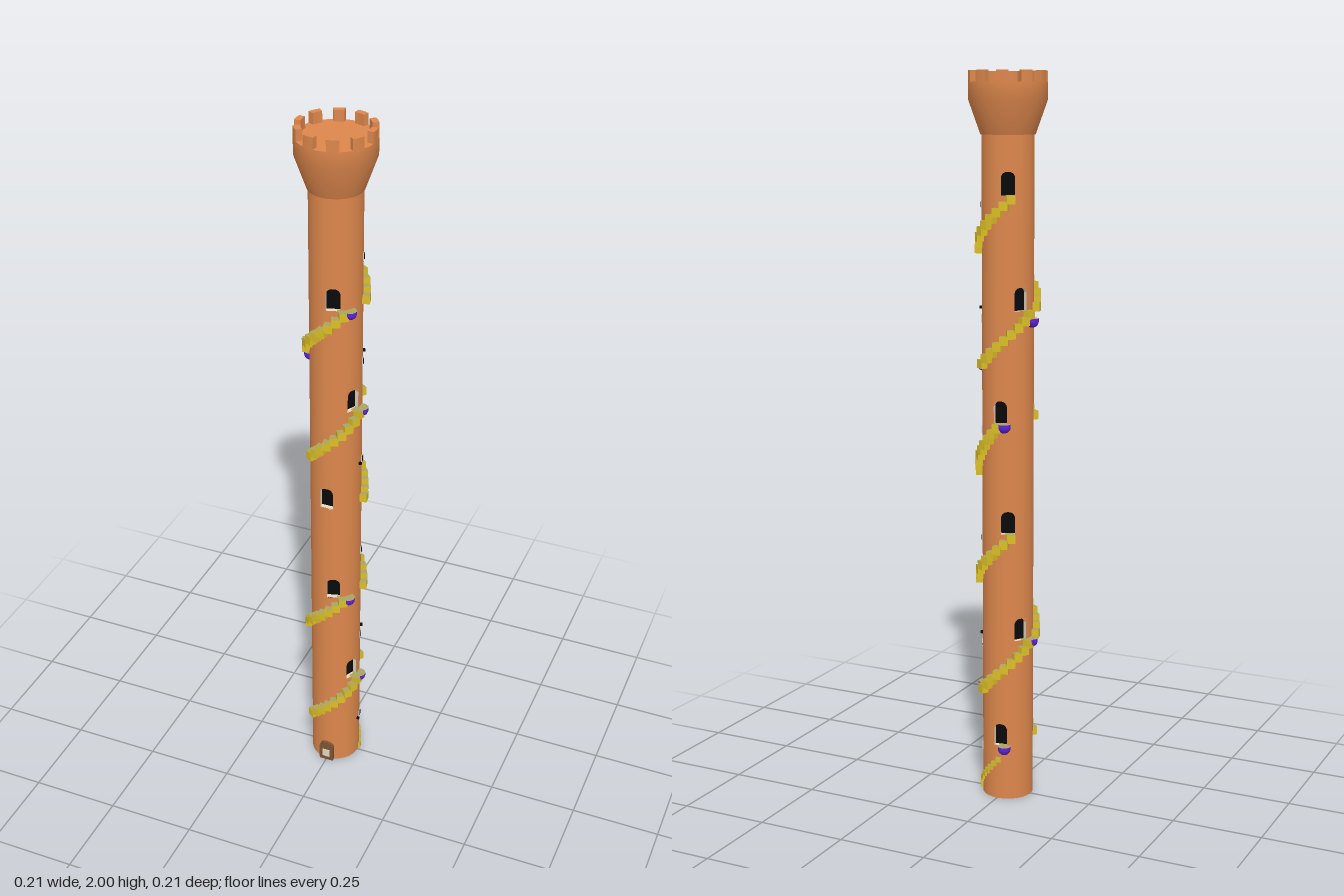
import * as THREE from 'three';

const mat = (name, color) => {
  const m = new THREE.MeshStandardMaterial({ color });
  m.name = name;
  return m;
};

export function createModel() {
  const clay = mat('clay', 0xdd874c);
  clay.side = THREE.DoubleSide;
  const yellow = mat('stair yellow', 0xdcbf26);
  const olive = mat('tread olive', 0xa8a562);
  const purple = mat('bracket purple', 0x5f22de);
  const black = mat('opening black', 0x0a0a0a);
  const cream = mat('jamb cream', 0xf3e4cc);
  const grey = mat('window grey', 0xcfd2d6);
  const brown = mat('porch brown', 0x7d5436);

  const tower = new THREE.Group();
  tower.name = 'tower';
  const R = 0.07, FLOOR = 0.1522, rad = THREE.MathUtils.degToRad;

  // Angles are in degrees from the front (+z) towards +x
  const place = (name, geo, material, deg, y, r, parent = tower) => {
    const a = rad(deg);
    const m = new THREE.Mesh(geo, material);
    m.name = name;
    m.position.set(r * Math.sin(a), y, r * Math.cos(a));
    m.rotation.y = a;
    parent.add(m);
    return m;
  };

  // Doorways, one per storey; the pattern repeats every six storeys
  const doorAngles = [0, 188, 64, 236, 16, 206];
  const DOOR_H = 0.064, HALF_GAP = 16;
  const doors = [];
  for (let k = 1; k < 12; k++) doors.push({ y: k * FLOOR + 0.003, deg: doorAngles[k % 6] });

  // Hollow shaft: rows follow the doorways, and the cells at each doorway are left out
  const levels = [0, ...doors.flatMap(d => [d.y, d.y + DOOR_H]), 1.84];
  const COLS = 90, ROWS = levels.length - 1;
  const shaftGeo = new THREE.CylinderGeometry(R, R, 1, COLS, ROWS, true);
  for (let row = 0; row <= ROWS; row++) {
    for (let c = 0; c <= COLS; c++) {
      shaftGeo.attributes.position.setY(row * (COLS + 1) + c, levels[ROWS - row]);
    }
  }
  const cells = Array.from(shaftGeo.index.array);
  shaftGeo.setIndex(cells.filter((_, i) => {
    const cell = Math.floor(i / 6);
    const band = ROWS - 1 - (cell % ROWS);
    const deg = (Math.floor(cell / ROWS) + 0.5) * 360 / COLS;
    if (band % 2 === 0) return true;
    const off = Math.abs(deg - doors[(band - 1) / 2].deg);
    return Math.min(off, 360 - off) > HALF_GAP;
  }));
  place('shaft', shaftGeo, clay, 0, 0, 0);

  // Flared crown with its floor
  const profile = [[0.07, 1.835], [0.073, 1.835], [0.105, 1.925], [0.105, 1.97]];
  place('crown', new THREE.LatheGeometry(profile.map(p => new THREE.Vector2(...p)), 64), clay, 0, 0, 0);
  const floorGeo = new THREE.CircleGeometry(0.105, 64);
  floorGeo.rotateX(-Math.PI / 2);
  place('crownFloor', floorGeo, clay, 0, 1.97, 0);

  // Ten merlons with curved faces
  const half = rad(8.8);
  const arc = new THREE.Shape();
  arc.absarc(0, 0, 0.105, -half, half, false);
  arc.absarc(0, 0, 0.088, half, -half, true);
  arc.closePath();
  const merlonGeo = new THREE.ExtrudeGeometry(arc, { depth: 0.03, bevelEnabled: false, curveSegments: 6 });
  merlonGeo.rotateX(-Math.PI / 2);
  for (let i = 0; i < 10; i++) place('merlon', merlonGeo, clay, i * 36, 1.97, 0);

  // Arched outline standing on y = base
  const arch = (s, w, h, base = 0) => {
    s.moveTo(-w / 2, base);
    s.lineTo(w / 2, base);
    s.lineTo(w / 2, h - w * 0.35);
    s.quadraticCurveTo(w * 0.4, h, 0, h);
    s.quadraticCurveTo(-w * 0.4, h, -w / 2, h - w * 0.35);
    s.lineTo(-w / 2, base);
    return s;
  };
  const extrude = (s, depth) => new THREE.ExtrudeGeometry(s, { depth, bevelEnabled: false, curveSegments: 6 });

  // Door surrounds: clay faces flush with the wall, cream reveals, dark backs
  const gapX = R * Math.sin(rad(HALF_GAP)), gapZ = R * Math.cos(rad(HALF_GAP)), REVEAL = 0.014;
  const surround = new THREE.Shape();
  surround.moveTo(-gapX, 0);
  surround.lineTo(gapX, 0);
  surround.lineTo(gapX, DOOR_H);
  surround.lineTo(-gapX, DOOR_H);
  surround.closePath();
  surround.holes.push(arch(new THREE.Path(), 0.037, 0.063, 0.001));
  const surroundGeo = extrude(surround, REVEAL);
  const backGeo = new THREE.BoxGeometry(2 * gapX, DOOR_H, 0.002);
  for (const { y, deg } of doors) {
    place('doorSurround', surroundGeo, [clay, cream], deg, y, gapZ - REVEAL);
    place('doorOpening', backGeo, black, deg, y + DOOR_H / 2, gapZ - REVEAL);
  }

  // Ground entrance
  place('entrancePorch', extrude(arch(new THREE.Shape(), 0.042, 0.066), 0.018), brown, 0, 0, 0.06);
  place('entranceDoor', new THREE.BoxGeometry(0.022, 0.026, 0.002), cream, 0, 0.026, 0.0785);

  // Outside stairs: start and end angle for each storey, none on the sixth
  const flights = [[100, 184], [325, 433], [145, 252], [285, 396], [105, 211]];
  const bracketAngles = [0, 198, 85, 263, 50];
  const STEPS = 9;
  const stepGeo = new THREE.BoxGeometry(0.024, 0.024, 0.027);
  const smallStepGeo = new THREE.BoxGeometry(0.015, 0.014, 0.016);
  const stepColours = [yellow, yellow, olive, yellow, yellow, yellow];
  const bracketGeo = new THREE.SphereGeometry(0.018, 16, 6, 0, Math.PI * 2, Math.PI / 2, Math.PI / 2);
  const slabGeo = new THREE.CylinderGeometry(0.018, 0.018, 0.007, 16);

  for (let turn = 0; turn < 2; turn++) {
    flights.forEach(([from, to], f) => {
      const base = (turn * 6 + f) * FLOOR;
      const ground = turn === 0 && f === 0;
      const rise = ground ? 0.108 : FLOOR - 0.018;
      const stair = new THREE.Group();
      stair.name = 'stairFlight';
      tower.add(stair);
      for (let i = 0; i < STEPS; i++) {
        const t = i / (STEPS - 1);
        place('step', ground ? smallStepGeo : stepGeo, stepColours, from + (to - from) * t,
          base + (ground ? 0.007 : 0.012) + t * rise, ground ? 0.068 : 0.075, stair);
      }
      // Rounded bracket with an olive top at the landing; one on the upper turn hangs lower
      if (f > 0) {
        const y = base - (turn === 1 && f === 3 ? 0.024 : 0.001);
        place('landingBracket', bracketGeo, purple, bracketAngles[f], y, 0.077);
        place('landingSlab', slabGeo, [purple, olive, purple], bracketAngles[f], y + 0.0035, 0.077);
      }
    });
  }

  // Small windows in a column, some with a dark lamp beside or above
  const frameGeo = new THREE.BoxGeometry(0.02, 0.022, 0.008);
  const paneGeo = new THREE.BoxGeometry(0.011, 0.014, 0.002);
  const lampGeo = new THREE.BoxGeometry(0.006, 0.007, 0.014);
  for (let i = 0; i < 6; i++) {
    const y = 0.13 + i * 2 * FLOOR;
    place('windowFrame', frameGeo, grey, 107, y, R - 0.0025);
    place('windowPane', paneGeo, black, 107, y, R + 0.002);
    if (i % 3 === 0) place('lamp', lampGeo, black, 86, y, R);
    if (i % 3 === 1) place('lamp', lampGeo, black, 110, y + 0.03, R);
  }

  return tower;
}
